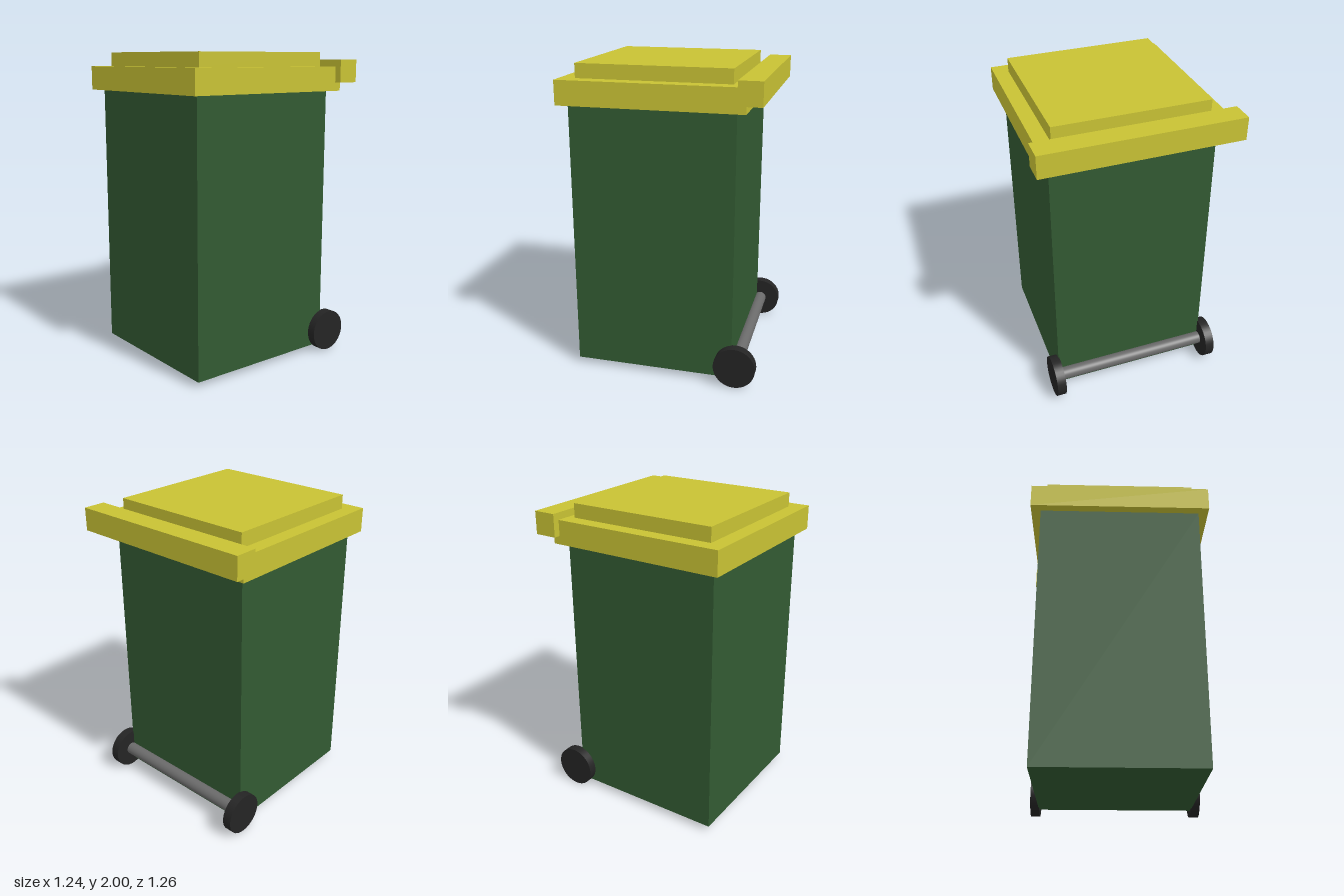
import * as THREE from 'three';

export function createModel() {
  const model = new THREE.Group();
  model.name = 'wheeledBin';

  const material = (color) => new THREE.MeshStandardMaterial({ color });
  const green = material(0x325a32);
  const yellow = material(0xc8c234);
  const black = material(0x242424);
  const grey = material(0x6a6a6a);

  function add(name, geometry, mat, x, y, z) {
    const mesh = new THREE.Mesh(geometry, mat);
    mesh.name = name;
    mesh.position.set(x, y, z);
    model.add(mesh);
  }

  // Box centred on x = 0, given its width and its y and z limits
  function addBox(name, mat, width, y0, y1, z0, z1) {
    const geometry = new THREE.BoxGeometry(width, y1 - y0, z1 - z0);
    add(name, geometry, mat, 0, (y0 + y1) / 2, (z0 + z1) / 2);
  }

  // Cylinder lying along x
  function addRoller(name, mat, radius, length, x, y, z) {
    const geometry = new THREE.CylinderGeometry(radius, radius, length, 40).rotateZ(Math.PI / 2);
    add(name, geometry, mat, x, y, z);
  }

  // Bin body
  addBox('body', green, 1.034, 0.037, 1.757, -0.466, 0.571);

  // Stepped lid and the handle bar across the back
  addBox('lid', yellow, 1.158, 1.757, 1.91, -0.528, 0.629);
  addBox('lidPanel', yellow, 0.97, 1.91, 2.0, -0.437, 0.53);
  addBox('handle', yellow, 1.244, 1.81, 1.955, -0.629, -0.484);

  // Axle and wheels at the lower back edge
  const wheelRadius = 0.135;
  const axleZ = -0.492;
  addRoller('axle', grey, 0.042, 1.04, 0, wheelRadius, axleZ);
  for (const [name, side] of [['leftWheel', 1], ['rightWheel', -1]]) {
    addRoller(name, black, wheelRadius, 0.06, side * 0.542, wheelRadius, axleZ);
  }

  return model;
}
